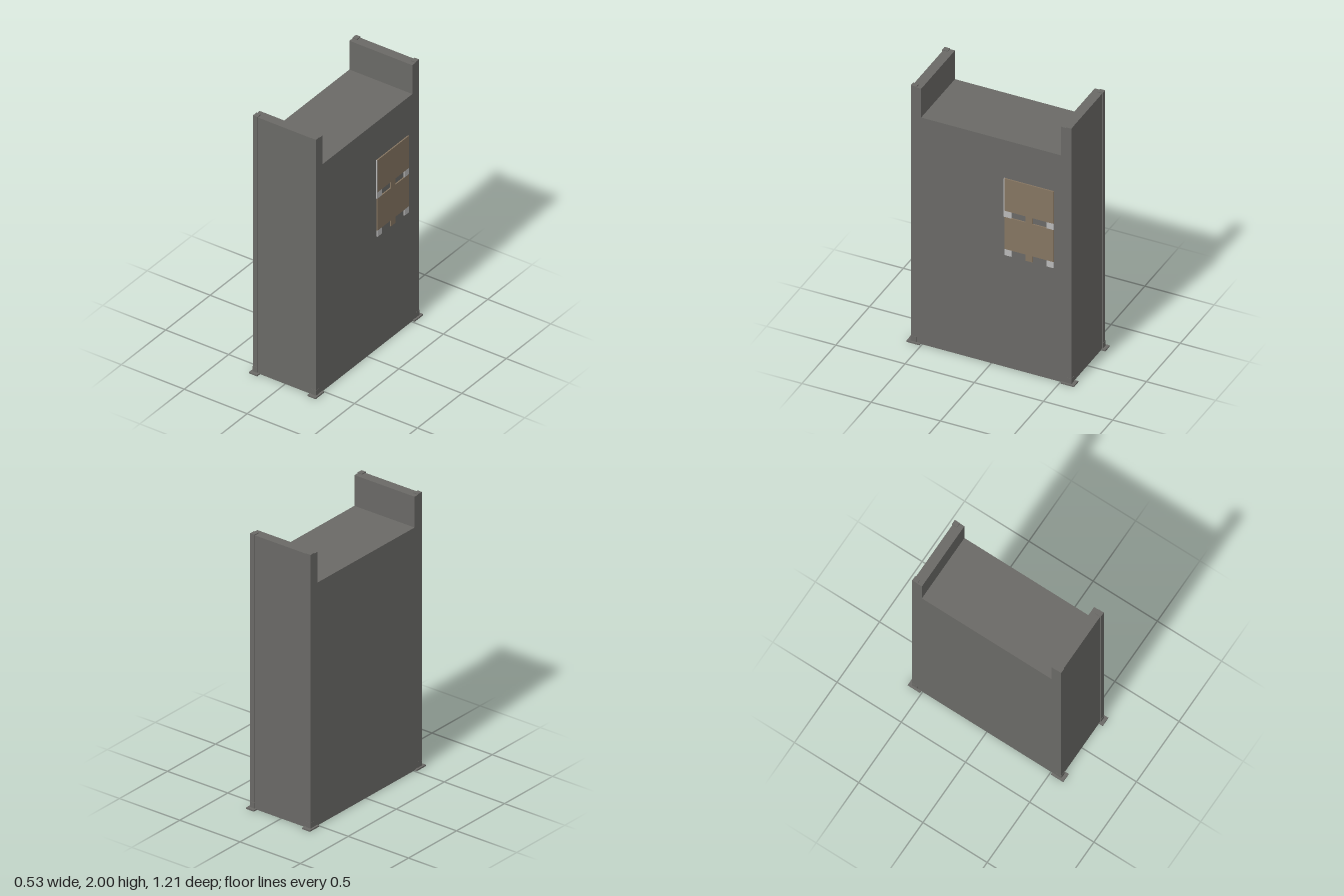
import * as THREE from 'three';

export function createModel() {
  const model = new THREE.Group();
  model.name = 'cabinet';

  const mat = (name, color) => {
    const m = new THREE.MeshStandardMaterial({ color });
    m.name = name;
    return m;
  };
  const grey = mat('warm grey', 0x6a6966);
  const tan = mat('cardboard tan', 0x857561);
  const pale = mat('pale grey', 0xb8b8b8);

  // Box given by its lower and upper limits on each axis
  const block = (name, material, [x0, x1], [y0, y1], [z0, z1], parent = model) => {
    const mesh = new THREE.Mesh(new THREE.BoxGeometry(x1 - x0, y1 - y0, z1 - z0), material);
    mesh.position.set((x0 + x1) / 2, (y0 + y1) / 2, (z0 + z1) / 2);
    mesh.name = name;
    parent.add(mesh);
    return mesh;
  };

  // Main body and the raised end walls
  block('body', grey, [-0.25, 0.25], [0.003, 1.77], [-0.505, 0.505]);
  for (const s of [-1, 1]) {
    const z = s > 0 ? [0.505, 0.575] : [-0.575, -0.505];
    block(s > 0 ? 'frontWall' : 'backWall', grey, [-0.25, 0.25], [0.003, 1.994], z);
  }

  // Four corner posts, each with a short sleeve and a flat foot plate
  const range = (s, a, b) => (s > 0 ? [a, b] : [-b, -a]);
  for (const sx of [-1, 1]) {
    for (const sz of [-1, 1]) {
      const corner = new THREE.Group();
      corner.name = 'cornerPost';
      model.add(corner);
      block('post', grey, range(sx, 0.215, 0.2505), [0.01, 2], range(sz, 0.54, 0.58), corner);
      block('sleeve', grey, range(sx, 0.213, 0.252), [0.01, 0.05], range(sz, 0.54, 0.582), corner);
      block('footPlate', grey, range(sx, 0.2, 0.265), [0, 0.01], range(sz, 0.51, 0.605), corner);
    }
  }

  // Side panel: two tan boards, each standing on a tab and two pale blocks
  const panel = new THREE.Group();
  panel.name = 'sidePanel';
  model.add(panel);
  const depth = [0.25, 0.259];
  for (const y of [0.88, 1.178]) {
    block('board', tan, depth, [y + 0.048, y + 0.298], [-0.455, -0.1], panel);
    block('centreTab', tan, depth, [y, y + 0.048], [-0.302, -0.252], panel);
    for (const z of [-0.455, -0.15]) {
      block('spacer', pale, depth, [y, y + 0.048], [z, z + 0.05], panel);
    }
  }
  block('edgeStrip', pale, depth, [1.178, 1.476], [-0.1, -0.095], panel);

  return model;
}
